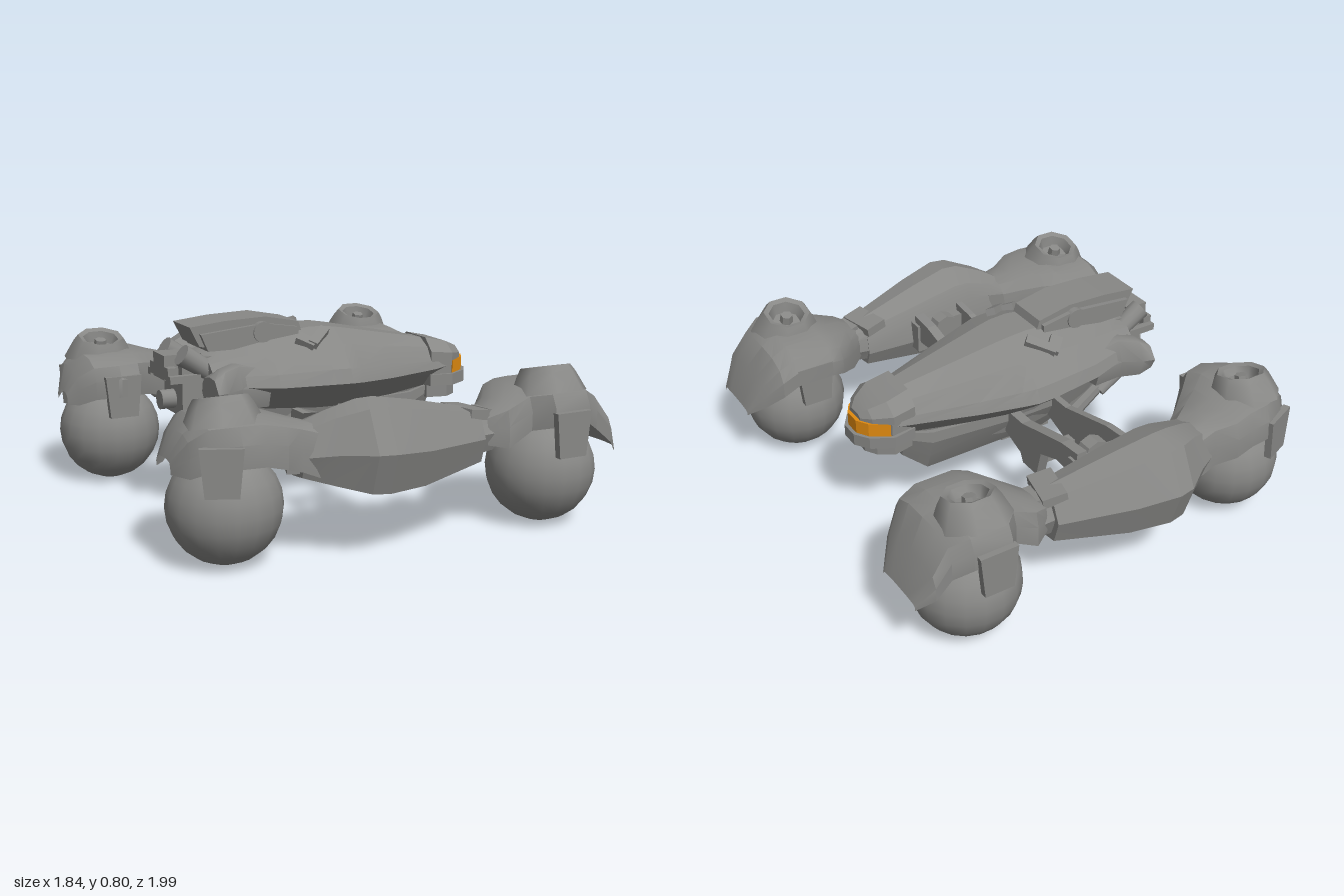
import * as THREE from 'three';
import { toCreasedNormals } from 'three/addons/utils/BufferGeometryUtils.js';

const gray = new THREE.MeshStandardMaterial({ color: 0x888886, side: THREE.DoubleSide });
gray.name = 'hull gray';
const orange = new THREE.MeshStandardMaterial({ color: 0xe08a10 });
orange.name = 'lamp orange';

function add(parent, name, geo, pos = [0, 0, 0], rot = [0, 0, 0], mat = gray) {
  const m = new THREE.Mesh(geo, mat);
  m.name = name;
  m.position.set(...pos);
  m.rotation.set(...rot);
  parent.add(m);
  return m;
}

// Loft a unit profile (u across z, v from bottom to top) through stations [x, zCentre, halfWidth, yBottom, yTop]
function loft(stations, profile, closed = true, crease = 0.5) {
  const pos = [], idx = [], n = profile.length;
  for (const [x, zc, w, y0, y1] of stations)
    for (const [u, v] of profile) pos.push(x, y0 + (y1 - y0) * v, zc + w * u);
  for (let i = 0; i < stations.length - 1; i++)
    for (let j = 0; j < (closed ? n : n - 1); j++) {
      const k = (j + 1) % n, a = i * n + j, b = i * n + k;
      idx.push(a, b, a + n, b, b + n, a + n);
    }
  if (closed) {
    const e = (stations.length - 1) * n;
    for (let j = 1; j < n - 1; j++) idx.push(0, j + 1, j, e, e + j, e + j + 1);
  }
  const g = new THREE.BufferGeometry();
  g.setAttribute('position', new THREE.Float32BufferAttribute(pos, 3));
  g.setIndex(idx);
  return toCreasedNormals(g, crease);
}

// Plate cut from an outline, extruded along z and centred
function plate(points, depth) {
  const s = new THREE.Shape(points.map(p => new THREE.Vector2(...p)));
  const g = new THREE.ExtrudeGeometry(s, { depth, bevelEnabled: false });
  return g.translate(0, 0, -depth / 2);
}

const box = (x, y, z) => new THREE.BoxGeometry(x, y, z);
const cyl = (r0, r1, h, n = 12) => toCreasedNormals(new THREE.CylinderGeometry(r0, r1, h, n), 0.7);

const ARCH = [[-1, 0], [-1, .45], [-.86, .78], [-.5, .96], [0, 1], [.5, 1], [.88, .87], [1, .5], [1, 0]];
const ARM = [[-1, .35], [-.9, .7], [-.72, .88], [-.1, 1], [.55, .95], [1, .5], [.72, .05], [0, 0], [-.75, .05]];
const HULL = [[-.4, 0], [-.5, .25], [-.82, .42], [-1, .53], [-.93, .66], [-.68, .86], [-.26, .98],
  [.26, .98], [.68, .86], [.93, .66], [1, .53], [.82, .42], [.5, .25], [.4, 0]];
const KEEL = [[-.5, 0], [-.75, .35], [-1, .75], [-1, 1], [1, 1], [1, .75], [.75, .35], [.5, 0]];
const CAP = [[-1, 0], [-1, .45], [-.6, 1], [.6, 1], [1, .45], [1, 0]];

// Squarish raised collar leaning inward, with a sunken bolt
function hub(parent, pos, rot) {
  const g = new THREE.Group();
  g.name = 'hub';
  g.position.set(...pos);
  g.rotation.set(...rot);
  const ring = [[0, -.045], [.06, -.045], [.078, 0], [.1, .008], [.118, -.02], [.155, -.1]]
    .map(p => new THREE.Vector2(...p));
  const collar = new THREE.LatheGeometry(ring, 8, Math.PI / 8);
  add(g, 'hubCollar', toCreasedNormals(collar, 0.8));
  add(g, 'hubBolt', cyl(.026, .03, .04, 6), [0, -.028, 0]);
  parent.add(g);
}

// One outrigger: two ball wheels, fenders, arm and struts (built on +z)
function outrigger() {
  const g = new THREE.Group();
  for (const [name, x, z] of [['frontWheel', .642, .74], ['rearWheel', -.7, .645]])
    add(g, name, new THREE.SphereGeometry(.22, 18, 12), [x, .219, z]);

  add(g, 'frontFender', loft([
    [.33, .75, .075, .36, .48], [.4, .74, .13, .35, .52], [.5, .69, .185, .41, .56], [.56, .715, .23, .43, .575],
    [.72, .715, .23, .43, .575], [.79, .7, .205, .39, .54], [.86, .73, .18, .33, .44], [.92, .74, .12, .275, .3]],
  ARCH, false));
  add(g, 'rearFender', loft([
    [-.92, .61, .07, .37, .42], [-.88, .635, .135, .37, .52], [-.82, .63, .19, .4, .57], [-.72, .63, .236, .41, .58],
    [-.63, .645, .23, .41, .58], [-.55, .685, .195, .39, .565], [-.47, .7, .14, .36, .54], [-.4, .725, .115, .33, .52]],
  ARCH, false));
  hub(g, [.635, .625, .765], [-.24, 0, 0]);
  hub(g, [-.72, .625, .67], [-.24, 0, 0]);

  // Guard plates hanging beside the wheels
  const guard = [[-.08, .09], [.08, .09], [.062, -.09], [-.062, -.09]];
  add(g, 'frontGuard', plate(guard, .03), [.63, .4, .955]);
  add(g, 'rearGuard', plate(guard, .03), [-.79, .4, .84], [0, -.4, 0]);
  add(g, 'frontInnerGuard', plate(guard, .03), [.64, .41, .5]);
  add(g, 'rearInnerGuard', plate(guard, .03), [-.71, .41, .415]);

  // Swing arm and its joints
  add(g, 'arm', loft([
    [-.46, .72, .115, .32, .5], [-.35, .77, .13, .285, .56], [-.24, .81, .172, .255, .6], [-.17, .815, .18, .25, .603],
    [0, .795, .158, .25, .57], [.3, .755, .1, .29, .5]], ARM, true, .35));
  add(g, 'armTip', loft([[.2, .74, .08, .3, .49], [.36, .75, .09, .33, .49], [.42, .75, .08, .36, .47]], ARM, true, .3));
  add(g, 'tipBracket', box(.1, .04, .17), [.275, .485, .74], [0, .22, -.15]);
  add(g, 'tipLatch', box(.04, .04, .1), [.355, .475, .75], [0, .2, -.15]);
  add(g, 'rearJoint', box(.12, .14, .17), [-.42, .41, .71], [0, -.35, 0]);
  add(g, 'armMount', box(.26, .13, .08), [-.05, .4, .635]);
  add(g, 'mountLug', cyl(.06, .06, .06, 8), [-.05, .44, .585], [Math.PI / 2, 0, 0]);

  // Strut pair linking the arm to the hull
  const strut = [[-.64, .5], [-.53, .49], [-.25, .42], [-.1, .42], [-.1, .32], [-.24, .27], [-.26, .23],
    [-.36, .23], [-.39, .35], [-.5, .39], [-.64, .38]];
  for (const [x, t] of [[-.165, .03], [.045, .045]])
    add(g, 'strut', plate(strut, t), [x, 0, 0], [0, Math.PI / 2, 0]);
  add(g, 'strutFoot', box(.24, .06, .05), [-.06, .27, .3]);

  // Hull side fittings
  add(g, 'latch', box(.13, .03, .04), [-.07, .712, .175], [.5, .75, 0]);
  add(g, 'latchHook', box(.05, .03, .08), [-.13, .7, .185], [.5, .75, 0]);
  add(g, 'rearFin', loft([[-.57, .22, .085, .49, .6], [-.52, .21, .08, .46, .63], [-.44, .17, .075, .45, .64],
    [-.32, .17, .08, .45, .62]], ARM, true, .8));
  add(g, 'exhaust', cyl(.045, .04, .13), [-.585, .64, .095], [0, 0, 1.0]);
  add(g, 'lowerPipe', cyl(.035, .03, .2), [-.5, .4, .12], [0, 0, 1.0]);
  add(g, 'bellyPipe', cyl(.03, .035, .16, 8), [-.36, .31, .1], [.2, 0, .8]);
  add(g, 'tailRail', box(.13, .03, .03), [-.635, .58, .11]);
  return g;
}

export function createModel() {
  const model = new THREE.Group();
  model.name = 'vehicle';

  // Central hull
  add(model, 'hull', loft([
    [-.54, 0, .21, .42, .67], [-.45, 0, .235, .38, .7], [-.29, 0, .28, .33, .725], [-.06, 0, .312, .3, .75],
    [.02, 0, .312, .3, .745], [.08, 0, .292, .3, .735], [.25, 0, .235, .32, .7], [.53, 0, .135, .37, .643],
    [.6, 0, .13, .42, .622]], HULL, true, .35));
  add(model, 'keel', loft([[-.36, 0, .09, .27, .4], [-.15, 0, .15, .235, .42], [.05, 0, .15, .235, .42],
    [.41, 0, .11, .215, .42], [.52, 0, .08, .31, .44]], KEEL, true, .3));
  add(model, 'bellyPlate', box(.24, .025, .13), [-.07, .232, 0]);

  // Nose: lip, wrap-around lamp and sloping cap
  const mirrored = half => [...half, ...half.slice().reverse().map(([x, z]) => [x, -z])];
  const flat = [Math.PI / 2, 0, 0];
  add(model, 'noseLip', plate(mirrored([[.5, .13], [.6, .15], [.69, .1], [.73, .04]]), .05), [0, .465, 0], flat);
  add(model, 'noseChin', plate(mirrored([[.5, .1], [.59, .12], [.65, .08], [.68, .03]]), .06), [0, .415, 0], flat);
  add(model, 'noseCore', plate(mirrored([[.5, .12], [.605, .135], [.62, .1]]), .07), [0, .52, 0], flat);
  add(model, 'lamp', plate(mirrored([[.61, .132], [.685, .085], [.715, .035]]), .058), [0, .519, 0], flat, orange);
  add(model, 'noseCap', loft([[.5, 0, .135, .548, .648], [.6, 0, .145, .548, .625],
    [.67, 0, .092, .548, .595], [.7, 0, .045, .548, .57]], CAP, true, .3));

  // Dorsal pod with cross drum
  add(model, 'dorsalPod', plate([[-.6, .78], [-.56, .7], [-.4, .66], [-.1, .71], [-.12, .77], [-.27, .8], [-.45, .795]], .18));
  add(model, 'dorsalSide', plate([[-.56, .75], [-.53, .68], [-.13, .68], [-.13, .75], [-.28, .775]], .22));
  add(model, 'crossDrum', cyl(.043, .043, .235, 16), [-.29, .74, 0], flat);

  // Rear engine block
  add(model, 'engine', box(.16, .24, .2), [-.56, .54, 0]);
  add(model, 'engineVent', box(.1, .1, .12), [-.65, .62, 0]);
  add(model, 'enginePipe', cyl(.04, .04, .14), [-.63, .48, 0], [0, 0, Math.PI / 2]);
  add(model, 'tailBar', box(.04, .05, .2), [-.68, .6, 0]);

  // Mirrored outriggers
  for (const [name, s] of [['leftOutrigger', 1], ['rightOutrigger', -1]]) {
    const o = outrigger();
    o.name = name;
    o.scale.z = s;
    model.add(o);
  }
  return model;
}
